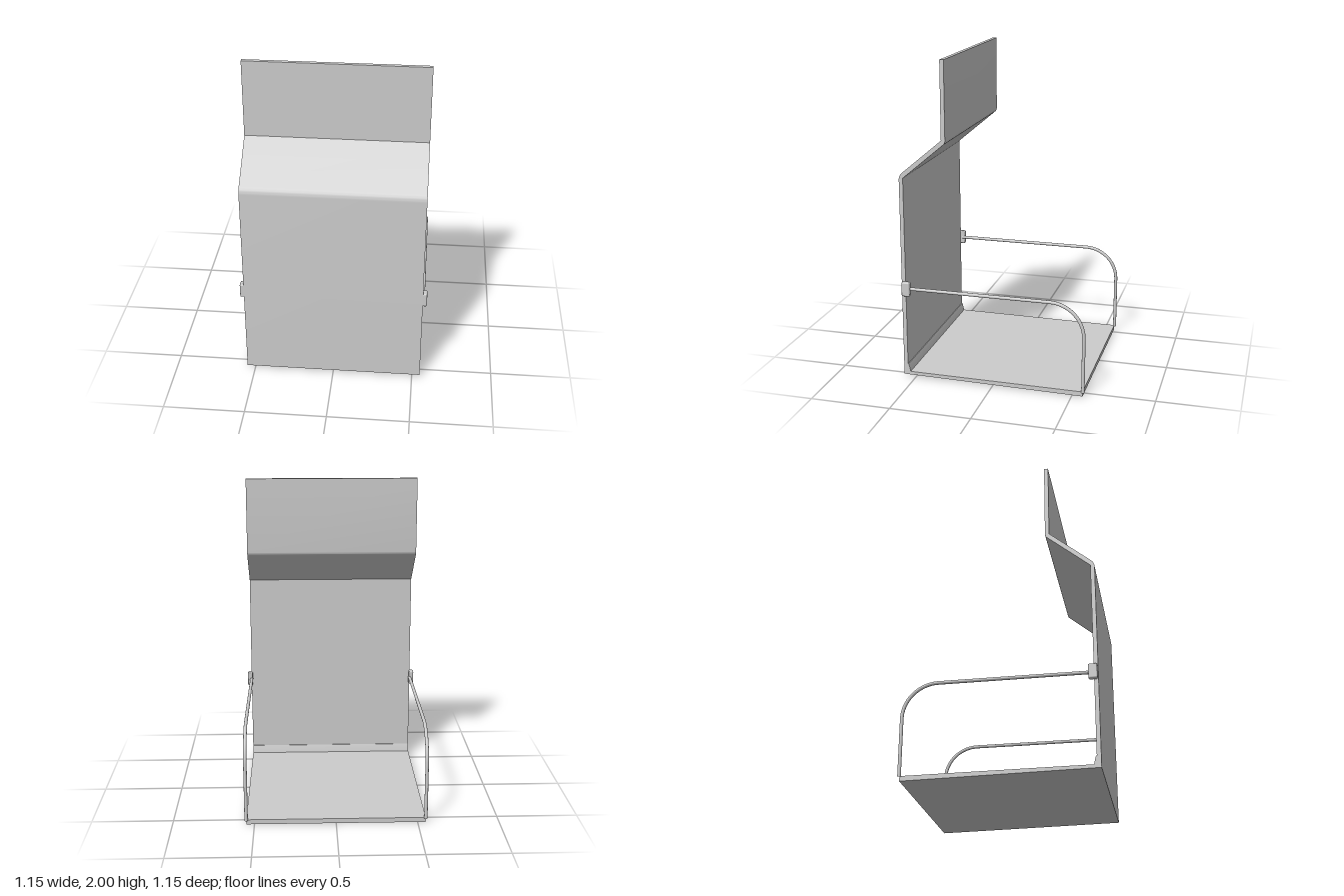
import * as THREE from 'three';
import { toCreasedNormals } from 'three/addons/utils/BufferGeometryUtils.js';
import { RoundedBoxGeometry } from 'three/addons/geometries/RoundedBoxGeometry.js';

const WIDTH = 1.1;
const material = new THREE.MeshStandardMaterial({ color: 0xcccccc });

function addMesh(parent, name, geometry) {
  const mesh = new THREE.Mesh(geometry, material);
  mesh.name = name;
  parent.add(mesh);
  return mesh;
}

// Extrudes a (z, y) side profile across the full width
function acrossWidth(shape) {
  const geometry = new THREE.ExtrudeGeometry(shape, { depth: WIDTH, bevelEnabled: false, curveSegments: 8 });
  geometry.translate(0, 0, -WIDTH / 2);
  geometry.rotateY(-Math.PI / 2);
  return toCreasedNormals(geometry, 0.5);
}

function polygon(points) {
  return new THREE.Shape(points.map(([z, y]) => new THREE.Vector2(z, y)));
}

export function createModel() {
  const model = new THREE.Group();
  model.name = 'bentPanelStand';

  // Upright sheet with a backward step and rounded outer bends
  const panel = new THREE.Shape();
  panel.moveTo(0.55, 0.03);
  panel.lineTo(0.575, 0.015);
  panel.lineTo(0.575, 1.27);
  panel.quadraticCurveTo(0.575, 1.298, 0.555, 1.315);
  panel.lineTo(0.305, 1.525);
  panel.lineTo(0.305, 2);
  panel.lineTo(0.28, 2);
  panel.lineTo(0.28, 1.525);
  panel.quadraticCurveTo(0.28, 1.51, 0.292, 1.5);
  panel.lineTo(0.55, 1.283);
  panel.closePath();
  addMesh(model, 'frontPanel', acrossWidth(panel));

  // Slightly tapered floor plate
  addMesh(model, 'basePlate', acrossWidth(polygon([
    [-0.565, 0], [0.575, 0.015], [0.55, 0.035], [-0.565, 0.03],
  ])));

  // Narrow strip filling the inside corner
  addMesh(model, 'cornerStrip', acrossWidth(polygon([
    [0.533, 0.033], [0.552, 0.033], [0.552, 0.085], [0.546, 0.085], [0.54, 0.065],
  ])));

  for (const side of [1, -1]) {
    const prefix = side > 0 ? 'left' : 'right';
    const x = side * 0.55;
    const point = (y, z) => new THREE.Vector3(x, y, z);

    // Rail: straight run, quarter-circle bend, then down to the plate
    const path = new THREE.CurvePath();
    const bend = [];
    for (let i = 0; i <= 12; i++) {
      const a = (i / 12) * Math.PI / 2;
      bend.push(point(0.375 + 0.21 * Math.cos(a), -0.357 - 0.21 * Math.sin(a)));
    }
    path.add(new THREE.LineCurve3(point(0.585, 0.54), bend[0]));
    path.add(new THREE.CatmullRomCurve3(bend));
    path.add(new THREE.LineCurve3(bend[12], point(0.025, -0.567)));
    addMesh(model, prefix + 'Rail', new THREE.TubeGeometry(path, 90, 0.0105, 12));

    // Clamp holding the rail to the panel edge
    const clamp = addMesh(model, prefix + 'Clamp', new RoundedBoxGeometry(0.032, 0.09, 0.052, 3, 0.008));
    clamp.position.set(side * 0.559, 0.586, 0.545);
  }

  return model;
}
